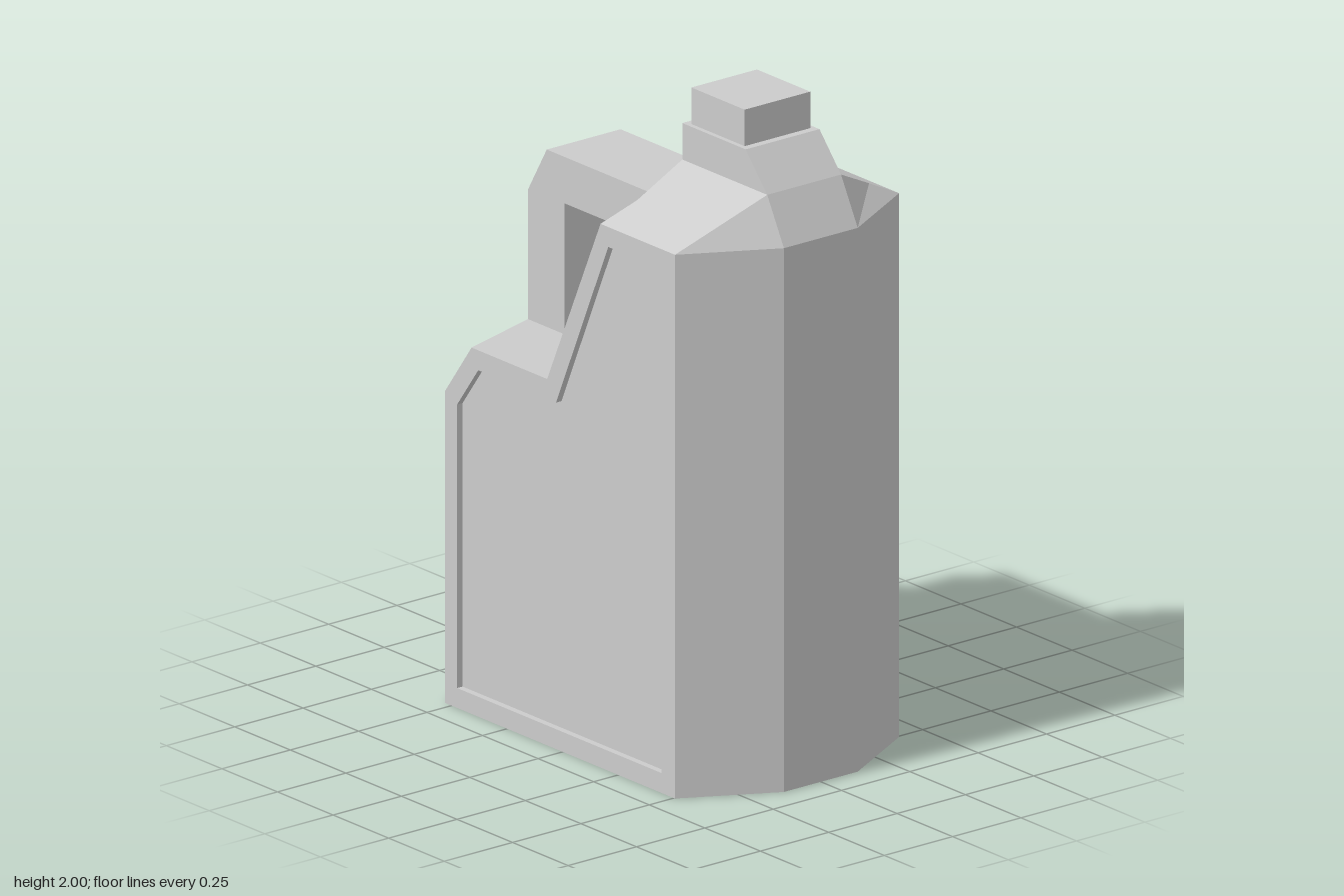
import * as THREE from 'three';

const W = 0.135; // half width of the middle band
const D = 0.41;  // half depth of the body
const RECESS = 0.02;

// Outline of the side faces; the two shoulder points sit further in
const outer = [
  [-0.53, 0, D], [0.505, 0, D], [0.505, 1.64, D], [0.505, 1.695, 0.3], [0.2, 1.695, 0.3],
  [0.17, 1.64, D], [-0.07, 1.105, D], [-0.41, 1.105, D], [-0.53, 0.94, D],
];
// Matching outline of the middle band
const middle = [
  [-0.66, 0, W], [0.657, 0, W], [0.657, 1.64, W], [0.582, 1.78, W], [0.2, 1.78, W],
  [0.072, 1.64, W], [-0.165, 1.105, W], [-0.495, 1.105, W], [-0.66, 0.94, W],
];
// Outline of the recessed label panel
const panel = [
  [-0.475, 0.06], [0.445, 0.06], [0.445, 1.58], [0.205, 1.58],
  [-0.03, 1.045], [-0.38, 1.045], [-0.475, 0.915],
];

function bodyGeometry() {
  const pos = [];
  const quad = (a, b, c, d) => pos.push(...a, ...b, ...c, ...a, ...c, ...d);
  const strip = (a, b) => a.forEach((p, i) => {
    const j = (i + 1) % a.length;
    quad(p, b[i], b[j], a[j]);
  });
  const flip = (ring) => ring.map(([x, y, z]) => [x, y, -z]);

  const rim = outer.filter((p) => p[2] === D);
  const lip = panel.map(([x, y]) => [x, y, D]);
  const floor = panel.map(([x, y]) => [x, y, D - RECESS]);

  // Skin, from the front panel around to the back panel
  strip(floor, lip);
  strip(lip, rim);
  strip(outer, middle);
  strip(middle, flip(middle));
  strip(flip(middle), flip(outer));
  strip(flip(rim), flip(lip));
  strip(flip(lip), flip(floor));

  // Lower shoulder slopes
  const shoulder = outer.slice(2, 6);
  quad(...shoulder);
  quad(...flip(shoulder).reverse());

  // Panel floors
  const tris = THREE.ShapeUtils.triangulateShape(panel.map((p) => new THREE.Vector2(...p)), []);
  const back = flip(floor);
  for (const [a, b, c] of tris) {
    pos.push(...floor[a], ...floor[b], ...floor[c]);
    pos.push(...back[a], ...back[c], ...back[b]);
  }

  const g = new THREE.BufferGeometry();
  g.setAttribute('position', new THREE.Float32BufferAttribute(pos, 3));
  g.computeVertexNormals();
  return g;
}

// Flat profile extruded across the middle band
function slab(points) {
  const shape = new THREE.Shape(points.map((p) => new THREE.Vector2(...p)));
  return new THREE.ExtrudeGeometry(shape, { depth: 2 * W, bevelEnabled: false }).translate(0, 0, -W);
}

export function createModel() {
  const group = new THREE.Group();
  const material = new THREE.MeshStandardMaterial({ color: 0xcccccc, flatShading: true });
  const add = (name, geometry) => {
    const mesh = new THREE.Mesh(geometry, material);
    mesh.name = name;
    group.add(mesh);
    return mesh;
  };

  add('body', bodyGeometry());

  add('neck', slab([[0.2, 1.78], [0.582, 1.78], [0.485, 1.89], [0.2, 1.89]]));

  add('handle', slab([
    [-0.495, 1.105], [-0.33, 1.105], [-0.33, 1.5], [0.01, 1.5],
    [0.072, 1.64], [-0.41, 1.64], [-0.495, 1.495],
  ]));

  add('cap', new THREE.BoxGeometry(0.24, 0.11, 0.24)).position.set(0.342, 1.945, 0);

  return group;
}
